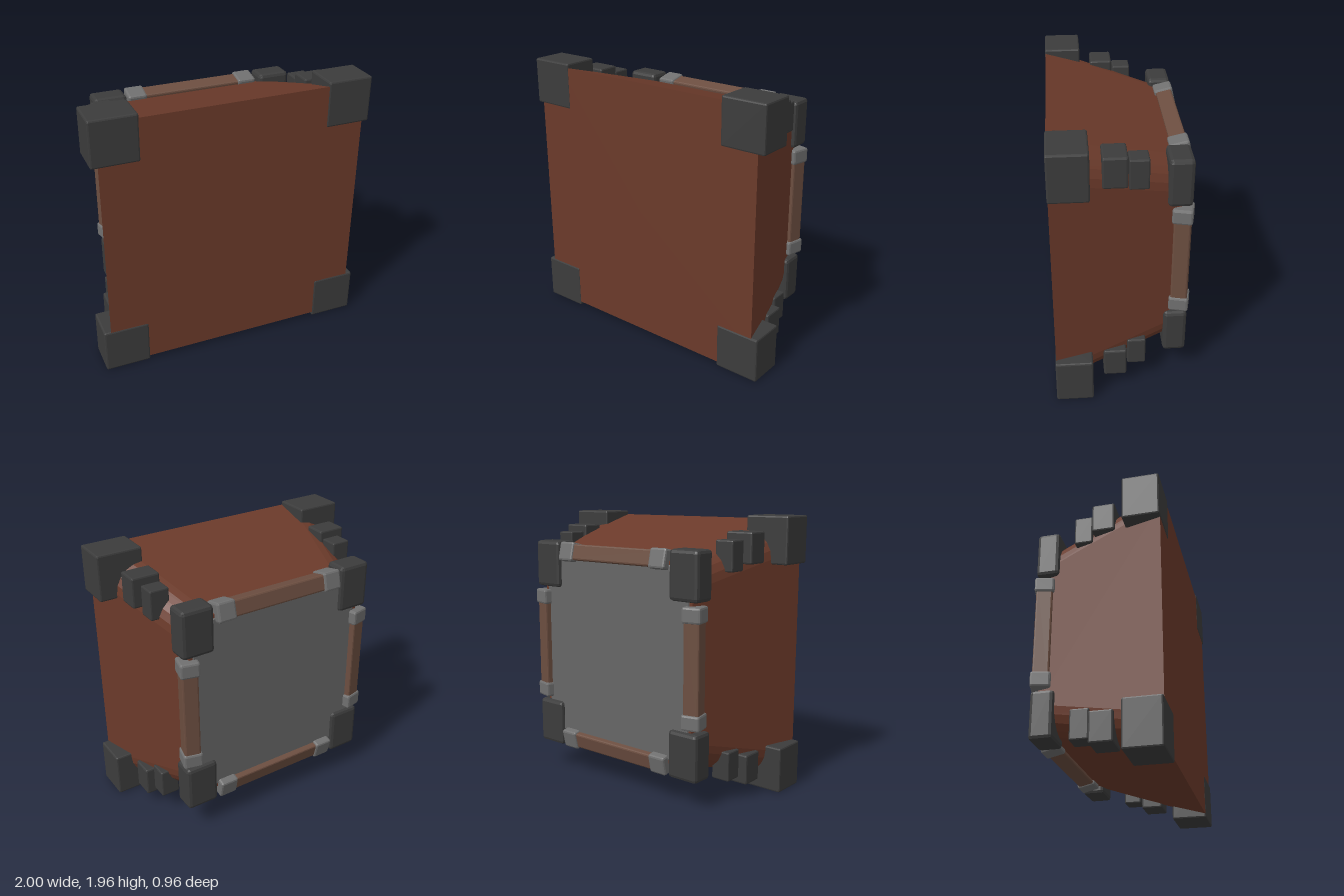
import * as THREE from 'three';
import { RoundedBoxGeometry } from 'three/addons/geometries/RoundedBoxGeometry.js';

const CY = 0.98; // height of the centre
const brown = new THREE.MeshStandardMaterial({ color: 0x6b3a2a, flatShading: true });
const dark = new THREE.MeshStandardMaterial({ color: 0x3c3c3c, flatShading: true });
const steel = new THREE.MeshStandardMaterial({ color: 0x707070, flatShading: true });
const rodBrown = new THREE.MeshStandardMaterial({ color: 0x6c4e40, flatShading: true });
const panelGrey = new THREE.MeshStandardMaterial({ color: 0x666666, flatShading: true });

// Outline of a square with rounded corners, anticlockwise
function ring(half, r, z, seg = 5) {
  const pts = [];
  for (let c = 0; c < 4; c++) {
    const mid = Math.PI / 4 + c * Math.PI / 2;
    const cx = Math.sign(Math.cos(mid)) * (half - r);
    const cy = Math.sign(Math.sin(mid)) * (half - r);
    for (let i = 0; i <= seg; i++) {
      const a = (c + i / seg) * Math.PI / 2;
      pts.push([cx + r * Math.cos(a), cy + r * Math.sin(a), z]);
    }
  }
  return pts;
}

// Tapered solid between a front ring and a back ring
function loft(front, back) {
  const n = front.length, index = [];
  const pos = [...front, ...back, [0, 0, front[0][2]], [0, 0, back[0][2]]].flat();
  for (let i = 0; i < n; i++) {
    const j = (i + 1) % n;
    index.push(i, n + i, n + j, i, n + j, j);
    index.push(2 * n, i, j, 2 * n + 1, n + j, n + i);
  }
  let geo = new THREE.BufferGeometry();
  geo.setAttribute('position', new THREE.Float32BufferAttribute(pos, 3));
  geo.setIndex(index);
  geo = geo.toNonIndexed();
  geo.computeVertexNormals();
  return geo;
}

export function createModel() {
  const model = new THREE.Group();
  model.name = 'crateHalf';
  const add = (parent, name, geo, mat, x = 0, y = 0, z = 0) => {
    const m = new THREE.Mesh(geo, mat);
    m.name = name;
    m.position.set(x, y, z);
    parent.add(m);
    return m;
  };

  // Body tapering to the back, with a grey panel on its back face
  add(model, 'body', loft(ring(0.95, 0.2, 0.475), ring(0.695, 0.18, -0.42)), brown, 0, CY);
  add(model, 'backPanel', loft(ring(0.675, 0.17, -0.415), ring(0.665, 0.17, -0.428)), panelGrey, 0, CY);

  // Corner guards: [name, x range, distance from centre in y, z range, bevel]
  const guards = [
    ['frontCornerGuard', 0.67, 1.0, 0.65, 0.98, 0.22, 0.48, 0.012],
    ['wideRib', 0.67, 0.875, 0.665, 0.88, -0.02, 0.14, 0.012],
    ['narrowRib', 0.68, 0.82, 0.62, 0.83, -0.16, -0.03, 0.01],
    ['backCornerGuard', 0.52, 0.76, 0.44, 0.78, -0.455, -0.29, 0.025],
  ];
  for (const [name, x0, x1, y0, y1, z0, z1, bevel] of guards) {
    const geo = new RoundedBoxGeometry(x1 - x0, y1 - y0, z1 - z0, 1, bevel);
    for (const sx of [-1, 1]) for (const sy of [-1, 1]) {
      add(model, name, geo, dark, sx * (x0 + x1) / 2, CY + sy * (y0 + y1) / 2, (z0 + z1) / 2);
    }
  }

  // Four rods with end caps on the back edges, tilted to match the taper
  for (let k = 0; k < 4; k++) {
    const side = new THREE.Group();
    side.name = 'edgeRod';
    side.position.y = CY;
    side.rotation.z = k * Math.PI / 2;
    const upright = k % 2 === 1;
    const end = upright ? 0.415 : 0.5, capLen = upright ? 0.11 : 0.14;
    const tilt = new THREE.Group();
    tilt.position.set(0, 0.7, -0.4);
    tilt.rotation.x = 0.23;
    add(tilt, 'rod', new RoundedBoxGeometry(2 * end - capLen, 0.115, 0.115, 1, 0.012), rodBrown);
    for (const s of [-1, 1]) {
      add(tilt, 'rodCap', new RoundedBoxGeometry(capLen, 0.138, 0.138, 1, 0.015), steel, s * (end - capLen / 2));
    }
    side.add(tilt);
    model.add(side);
  }
  return model;
}
